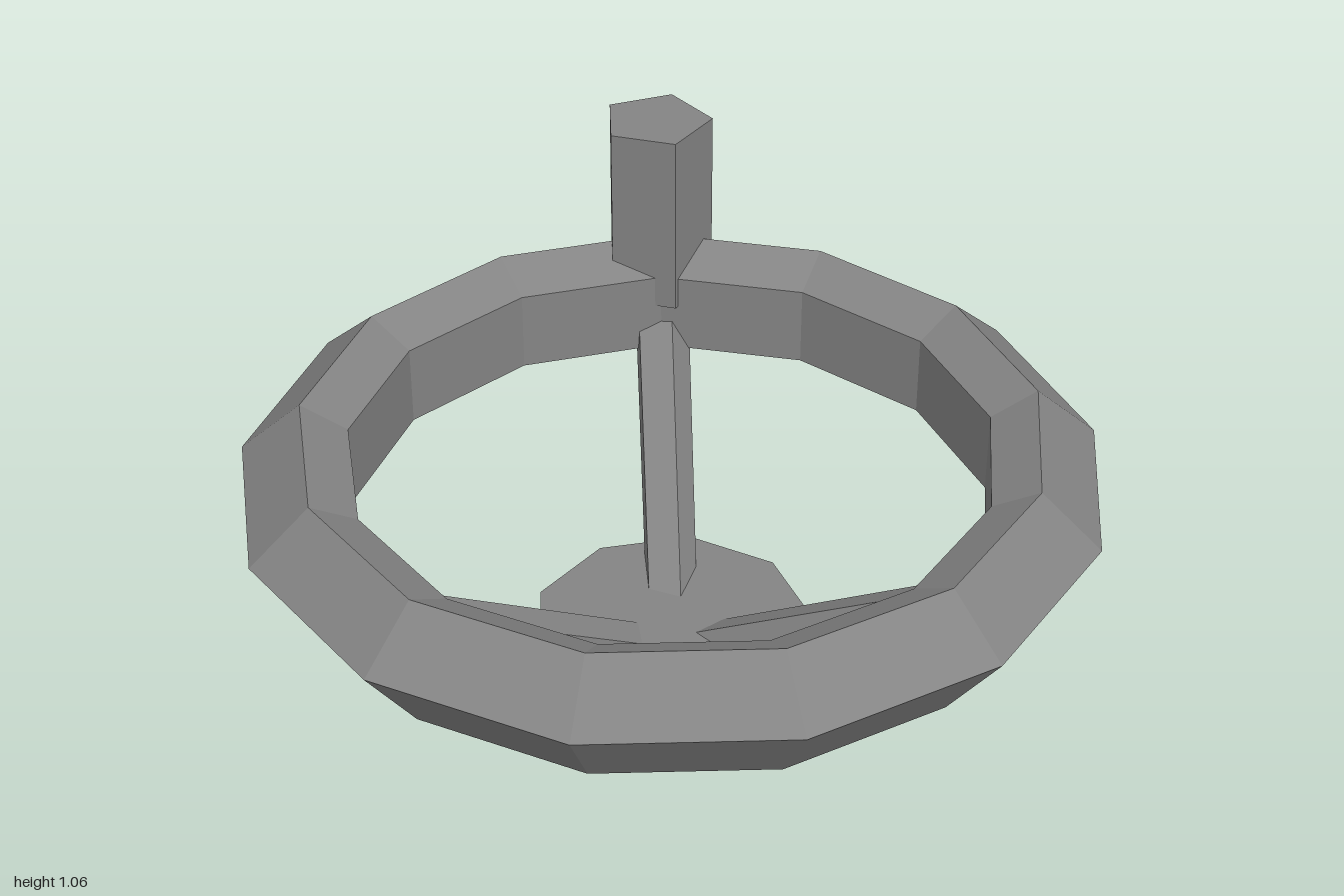
import * as THREE from 'three';

export function createModel() {
  const model = new THREE.Group();
  const mat = new THREE.MeshStandardMaterial({
    color: 0x848484, flatShading: true, side: THREE.DoubleSide,
  });
  const add = (name, geometry, x, y, z, parent = model) => {
    const mesh = new THREE.Mesh(geometry, mat);
    mesh.name = name;
    mesh.position.set(x, y, z);
    parent.add(mesh);
    return mesh;
  };
  const centreZ = 0.015;

  // Thirteen-sided rim with a five-sided section (radius, height)
  const section = [[0.862, 0.408], [1.007, 0.607], [0.862, 0.732], [0.752, 0.67], [0.752, 0.47], [0.862, 0.408]]
    .map(([r, y]) => new THREE.Vector2(r, y));
  add('rim', new THREE.LatheGeometry(section, 13, Math.PI), 0, 0, centreZ);

  // Hub: nine-sided cup, open underneath
  const hubRadius = 0.335, hubHeight = 0.172, hubZ = 0.02;
  add('hubWall', new THREE.CylinderGeometry(hubRadius, hubRadius, hubHeight, 9, 1, true, Math.PI / 2),
    0, hubHeight / 2, hubZ);
  const top = add('hubTop', new THREE.CircleGeometry(hubRadius, 9), 0, hubHeight, hubZ);
  top.rotation.x = -Math.PI / 2;

  // Three sloping five-sided spokes, a little thicker towards the rim
  const slope = Math.atan(0.55), inner = 0.02, outer = 0.8, middle = (inner + outer) / 2;
  const spokeGeometry = new THREE.CylinderGeometry(0.073, 0.066, (outer - inner) / Math.cos(slope),
    5, 1, false, THREE.MathUtils.degToRad(22));
  spokeGeometry.rotateX(-Math.PI / 2).scale(1, 0.88, 1);
  for (let i = 0; i < 3; i++) {
    const arm = new THREE.Group();
    arm.name = 'spokeArm';
    arm.position.z = centreZ;
    arm.rotation.y = i * Math.PI * 2 / 3;
    model.add(arm);
    const spoke = add('spoke', spokeGeometry, 0, 0.066 + 0.55 * middle, -middle, arm);
    spoke.rotation.x = slope;
  }

  // Upright five-sided crank handle at the back of the rim
  const low = 0.59, high = 1.056;
  add('handle', new THREE.CylinderGeometry(0.14, 0.14, high - low, 5, 1, false, Math.PI / 2),
    -0.008, (low + high) / 2, -0.85);

  return model;
}
